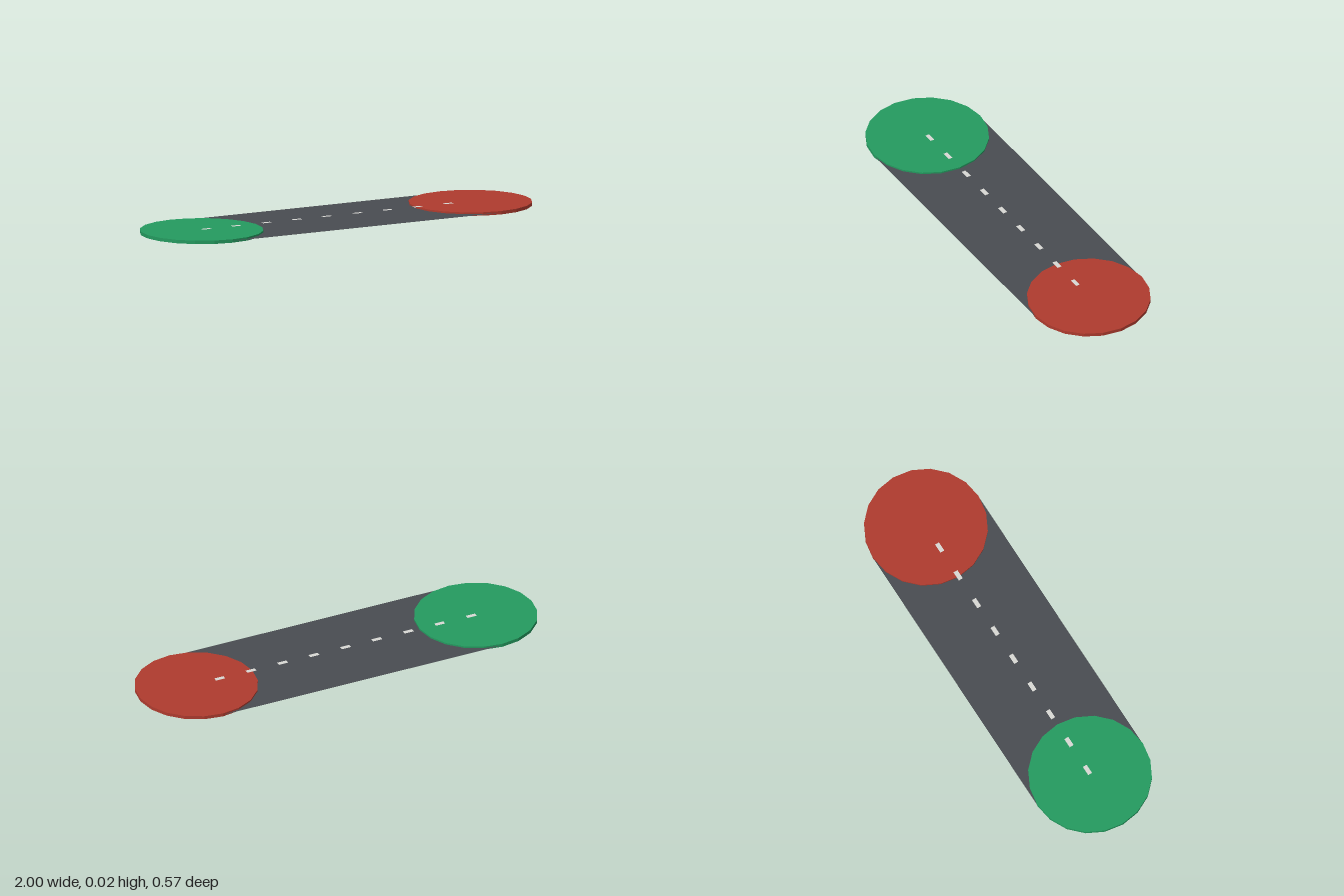
import * as THREE from 'three';

const RADIUS = 0.286, HALF = 0.714, HEIGHT = 0.016;

function material(name, color, extra = {}) {
  const m = new THREE.MeshStandardMaterial({ color, ...extra });
  m.name = name;
  return m;
}

export function createModel() {
  const group = new THREE.Group();
  const green = material('green', 0x249a5f, { flatShading: true });
  const red = material('red', 0xae3b2e, { flatShading: true });
  const asphalt = material('asphalt grey', 0x494c51, { side: THREE.DoubleSide });
  const paint = material('line paint', 0xd8d8d4, { side: THREE.DoubleSide });

  const add = (name, geometry, mat, x, y) => {
    const mesh = new THREE.Mesh(geometry, mat);
    mesh.name = name;
    mesh.position.set(x, y, 0);
    group.add(mesh);
  };
  const flat = (w, d) => new THREE.PlaneGeometry(w, d).rotateX(-Math.PI / 2);

  // Flat road strip running between the disc centres
  add('roadSurface', flat(HALF * 2, RADIUS * 2), asphalt, 0, HEIGHT / 2);

  // Twenty-sided end discs
  const disc = new THREE.CylinderGeometry(RADIUS, RADIUS, HEIGHT, 20);
  add('startDisc', disc, green, -HALF, HEIGHT / 2);
  add('endDisc', disc, red, HALF, HEIGHT / 2);

  // Dashed centre line, just above the discs
  const dash = flat(0.047, 0.021);
  for (let i = 0; i < 9; i++) {
    add('centreDash' + (i + 1), dash, paint, -0.691 + i * 0.1607, HEIGHT + 0.0006);
  }
  return group;
}
